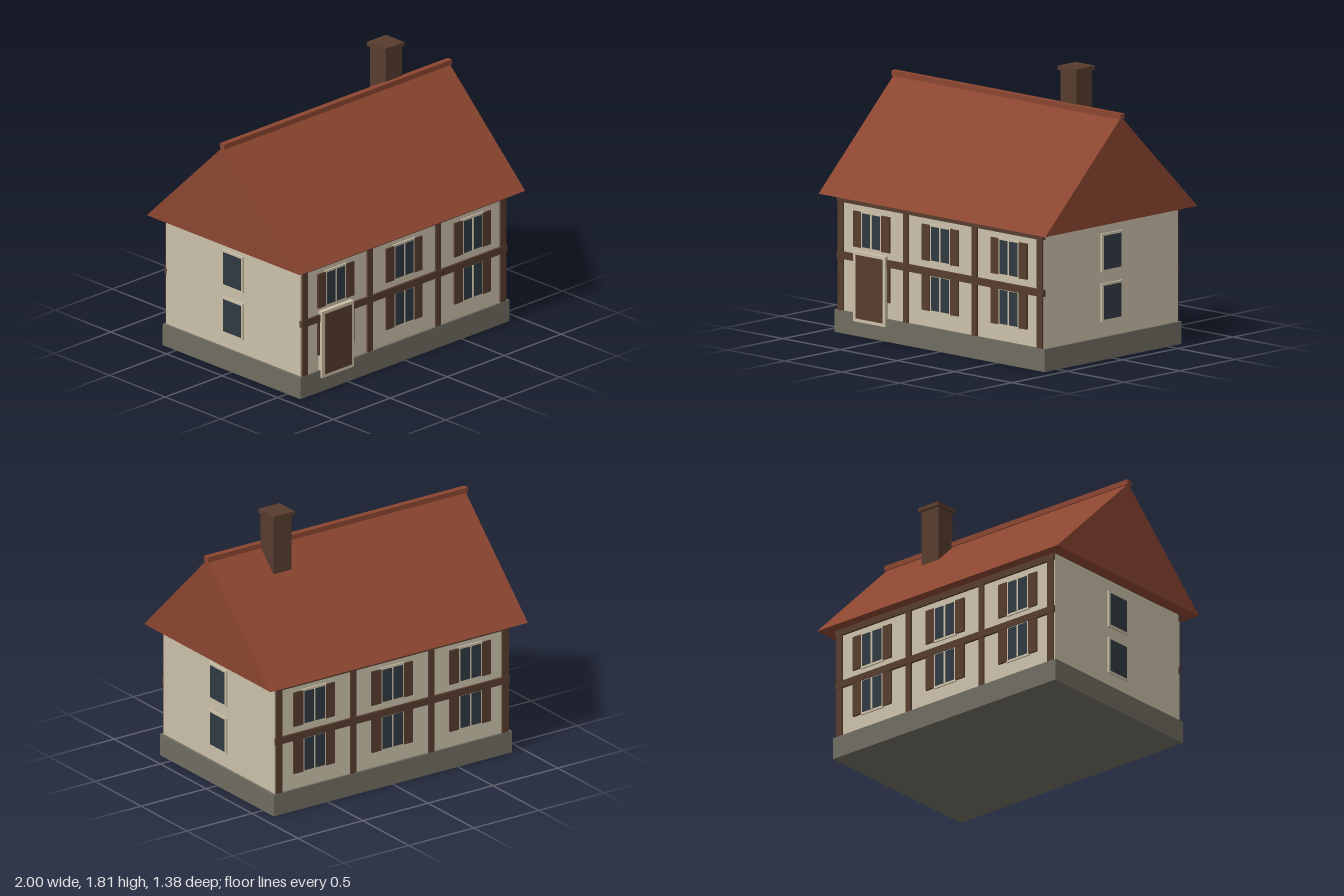
import * as THREE from 'three';

const mat = (name, color) => {
  const m = new THREE.MeshStandardMaterial({ color });
  m.name = name;
  return m;
};

export function createModel() {
  const plaster = mat('plaster', 0xcbc1aa);
  const trim = mat('trim', 0xcdc0a8);
  const timber = mat('timber', 0x573c2e);
  const tile = mat('roofTile', 0x8b4530);
  const stone = mat('stone', 0x706c61);
  const glass = mat('glass', 0x303a42);

  const house = new THREE.Group();
  house.name = 'house';

  // Box given by its centre and size
  const box = (parent, name, m, x, y, z, w, h, d) => {
    const mesh = new THREE.Mesh(new THREE.BoxGeometry(w, h, d), m);
    mesh.position.set(x, y, z);
    mesh.name = name;
    parent.add(mesh);
    return mesh;
  };

  // Plinth and walls
  box(house, 'plinth', stone, 0, 0.0725, 0, 1.834, 0.145, 1.24);
  box(house, 'walls', plaster, 0, 0.515, 0, 1.8, 0.74, 1.21);

  // Gabled roof prism
  const gable = new THREE.Shape();
  gable.moveTo(-0.688, 0.885);
  gable.lineTo(0.688, 0.885);
  gable.lineTo(0, 1.555);
  gable.closePath();
  const roofGeometry = new THREE.ExtrudeGeometry(gable, { depth: 1.98, bevelEnabled: false });
  roofGeometry.translate(0, 0, -0.99).rotateY(Math.PI / 2);
  const roof = new THREE.Mesh(roofGeometry, tile);
  roof.name = 'roof';
  house.add(roof);
  box(house, 'ridge', tile, 0, 1.56, 0, 2, 0.034, 0.04);

  // Chimney
  box(house, 'chimney', timber, 0.517, 1.54, -0.08, 0.14, 0.48, 0.14);
  box(house, 'chimneyCap', timber, 0.517, 1.793, -0.083, 0.166, 0.027, 0.166);

  // Window facing +z with its back on z = 0
  const makeWindow = (withShutters) => {
    const g = new THREE.Group();
    g.name = 'window';
    box(g, 'windowFrame', trim, 0, 0, 0.004, 0.187, 0.247, 0.012);
    box(g, 'windowGlass', glass, 0, 0, 0.009, 0.156, 0.217, 0.006);
    if (withShutters) {
      box(g, 'mullion', trim, 0, 0, 0.011, 0.013, 0.217, 0.006);
      for (const s of [-1, 1]) box(g, 'shutter', timber, s * 0.123, 0, 0.005, 0.07, 0.23, 0.014);
    }
    return g;
  };

  const rows = [0.684, 0.364];

  // Front and back: timber framing and shuttered windows
  for (const side of [1, -1]) {
    const facade = new THREE.Group();
    facade.name = side > 0 ? 'frontFacade' : 'backFacade';
    facade.rotation.y = side > 0 ? 0 : Math.PI;
    for (const x of [-0.87, -0.3, 0.3, 0.87])
      box(facade, 'post', timber, x, 0.515, 0.605, x * x > 0.5 ? 0.048 : 0.042, 0.74, 0.024);
    box(facade, 'middleRail', timber, 0, 0.5, 0.607, 1.8, 0.046, 0.028);
    box(facade, 'topRail', timber, 0, 0.863, 0.606, 1.8, 0.044, 0.026);
    for (const y of rows) for (const x of [-0.6, 0, 0.6]) {
      const w = makeWindow(true);
      w.position.set(x, y, 0.605);
      facade.add(w);
    }
    house.add(facade);
  }

  // Plain windows on both gable walls
  for (const side of [1, -1]) for (const y of rows) {
    const w = makeWindow(false);
    w.position.set(side * 0.902, y, 0);
    w.rotation.y = side * Math.PI / 2;
    house.add(w);
  }

  // Front door
  box(house, 'doorFrame', trim, -0.602, 0.321, 0.617, 0.28, 0.45, 0.036);
  box(house, 'door', timber, -0.6, 0.321, 0.634, 0.232, 0.408, 0.008);

  return house;
}
